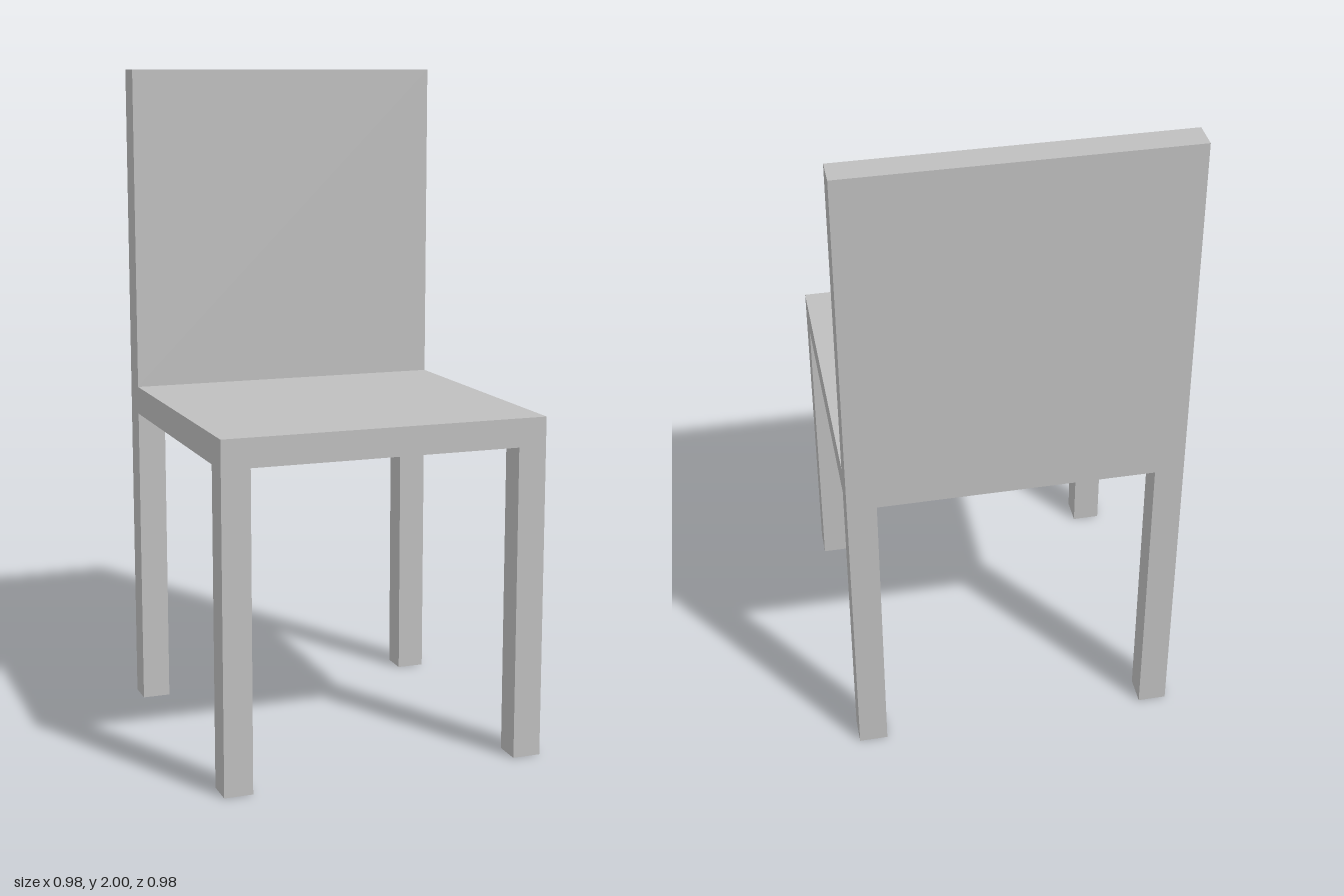
import * as THREE from 'three';

export function createModel() {
  const chair = new THREE.Group();
  chair.name = 'chair';
  const grey = new THREE.MeshStandardMaterial({ color: 0xbfbfbf });
  grey.name = 'plain grey';

  const width = 0.976;      // seat is square
  const thick = 0.085;      // shared by legs, seat and back
  const seatTop = 1.02;
  const seatBottom = seatTop - thick;
  const height = 2;
  const edge = (width - thick) / 2;

  // Box standing on the given base height
  function block(name, w, h, d, x, base, z) {
    const mesh = new THREE.Mesh(new THREE.BoxGeometry(w, h, d), grey);
    mesh.name = name;
    mesh.position.set(x, base + h / 2, z);
    chair.add(mesh);
  }

  // Seat and solid back panel
  block('seat', width, thick, width, 0, seatBottom, 0);
  block('backrest', width, height - seatTop, thick, 0, seatTop, -edge);

  // Four square legs flush with the seat corners
  for (const [side, x] of [['Left', 1], ['Right', -1]]) {
    for (const [end, z] of [['front', 1], ['back', -1]]) {
      block(`${end}${side}Leg`, thick, seatBottom, thick, x * edge, 0, z * edge);
    }
  }
  return chair;
}
